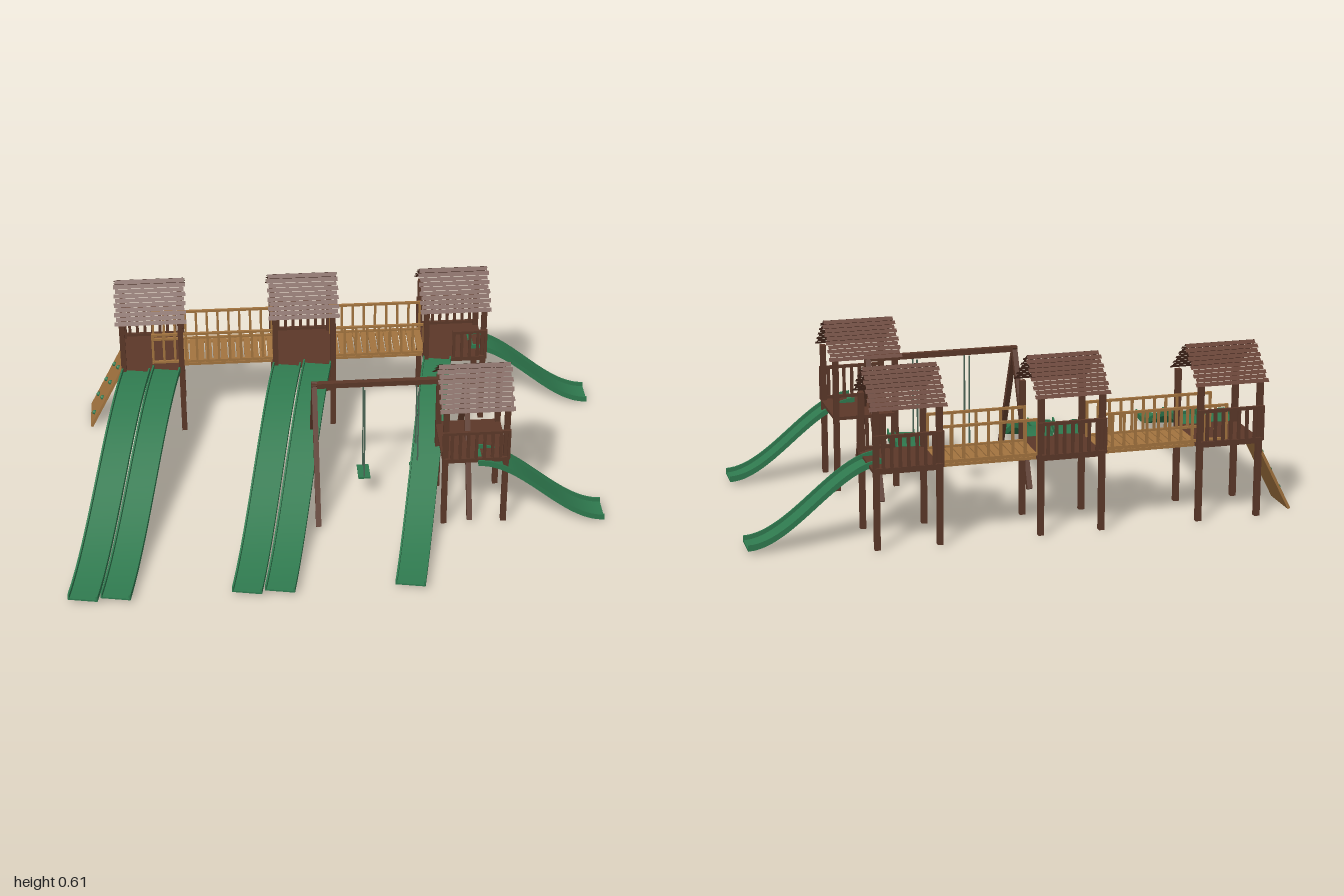
import * as THREE from 'three';
import { toCreasedNormals } from 'three/addons/utils/BufferGeometryUtils.js';

const mat = (name, color, side = THREE.FrontSide) => {
  const m = new THREE.MeshStandardMaterial({ color, side });
  m.name = name;
  return m;
};
const brown = mat('brown wood', 0x5c3829);
const shingle = mat('roof brown', 0x633b2c, THREE.DoubleSide);
const tan = mat('tan wood', 0xa3743f);
const green = mat('slide green', 0x2f7a4f);
const chain = mat('chain grey green', 0x4c6656);

const HX = 0.109, HZ = 0.115;        // half spacing of tower posts
const DECK = 0.28, EAVE = 0.49, RIDGE = 0.61;

function group(name, parent) {
  const g = new THREE.Group();
  g.name = name;
  parent.add(g);
  return g;
}

function box(parent, name, material, w, h, d, x, y, z) {
  const m = new THREE.Mesh(new THREE.BoxGeometry(w, h, d), material);
  m.name = name;
  m.position.set(x, y, z);
  parent.add(m);
  return m;
}

// Square bar between two points
function bar(parent, name, material, a, b, t) {
  const p = new THREE.Vector3(...a), q = new THREE.Vector3(...b);
  const m = box(parent, name, material, t, t, p.distanceTo(q), 0, 0, 0);
  m.position.copy(p).add(q).multiplyScalar(0.5);
  m.lookAt(q);
  return m;
}

// Railing along x with balusters between two rails
function railing(parent, name, material, x0, x1, z, top, count, t) {
  const g = group(name, parent), cx = (x0 + x1) / 2, w = x1 - x0;
  box(g, 'topRail', material, w, t, t, cx, top - t / 2, z);
  box(g, 'bottomRail', material, w, t, t, cx, DECK + t / 2, z);
  for (let i = 0; i < count; i++) {
    const x = x0 + t / 2 + (w - t) * i / (count - 1);
    box(g, 'baluster', material, t, top - DECK, t * 0.8, x, (top + DECK) / 2, z);
  }
}

// Open gable roof of separate thin boards
function roof(parent, cx, cz) {
  const g = group('roof', parent), rows = 10, half = 0.136;
  const drop = RIDGE - EAVE, len = Math.hypot(half, drop);
  for (const s of [-1, 1]) {
    for (let i = 0; i < rows; i++) {
      const t = (i + 0.5) / rows;
      const m = new THREE.Mesh(
        new THREE.PlaneGeometry(i % 2 ? 0.268 : 0.256, len / rows * 0.92), shingle);
      m.name = 'roofBoard';
      m.position.set(cx, RIDGE - drop * t, cz + s * half * t);
      m.rotation.order = 'YXZ';
      m.rotation.set(-Math.atan2(half, drop), s > 0 ? 0 : Math.PI, 0);
      g.add(m);
    }
  }
}

function tower(parent, name, cx, cz) {
  const g = group(name, parent);
  for (const sx of [-1, 1]) for (const sz of [-1, 1]) {
    box(g, 'post', brown, 0.02, EAVE, 0.02, cx + sx * HX, EAVE / 2, cz + sz * HZ);
  }
  box(g, 'deck', brown, 2 * HX + 0.02, 0.012, 2 * HZ + 0.02, cx, DECK - 0.006, cz);
  roof(g, cx, cz);
  return g;
}

// Curved strip following the slide's S-shaped fall
function strip(len, low, high, width, z) {
  const n = 28, pts = [];
  const y = (t) => 0.01 + 0.265 * (1 - t * t * (3 - 2 * t));
  for (let i = 0; i <= n; i++) pts.push(new THREE.Vector2(len * i / n, y(i / n) + low));
  for (let i = n; i >= 0; i--) pts.push(new THREE.Vector2(len * i / n, y(i / n) + high));
  const geo = new THREE.ExtrudeGeometry(new THREE.Shape(pts),
    { depth: width, bevelEnabled: false });
  geo.translate(0, 0, z - width / 2);
  return toCreasedNormals(geo, 0.5);
}

function slide(parent, name, x0, z0, x1, z1) {
  const g = group(name, parent), len = Math.hypot(x1 - x0, z1 - z0);
  const add = (n, geo) => {
    const m = new THREE.Mesh(geo, green);
    m.name = n;
    g.add(m);
  };
  add('slideBed', strip(len, 0, 0.006, 0.1, 0));
  for (const s of [-1, 1]) add('slideSide', strip(len, 0, 0.022, 0.006, s * 0.05));
  g.position.set(x0, 0, z0);
  g.rotation.y = Math.atan2(-(z1 - z0), x1 - x0);
}

// Plank bridge with railings on both sides
function bridge(parent, x0, x1, rail0) {
  const g = group('bridge', parent), cz = -0.52, n = Math.round((x1 - x0) / 0.03);
  for (let i = 0; i < n; i++) {
    const step = (x1 - x0) / n;
    box(g, 'plank', tan, step * 0.86, 0.01, 0.16, x0 + step * (i + 0.5), DECK - 0.003, cz);
  }
  for (const s of [-1, 1]) {
    box(g, 'bridgeBeam', tan, x1 - x0, 0.01, 0.012, (x0 + x1) / 2, DECK - 0.01, cz + s * 0.076);
    railing(g, 'bridgeRailing', tan, rail0, x1, cz + s * 0.08, 0.41,
      Math.round((x1 - rail0) / 0.043) + 1, 0.009);
  }
}

function swingSet(parent) {
  const g = group('swingSet', parent), z = 0.057;
  bar(g, 'swingBeam', brown, [-0.11, 0.482, z], [0.46, 0.482, z], 0.02);
  for (const x of [-0.1, 0.45]) for (const s of [-1, 1]) {
    bar(g, 'swingLeg', brown, [x, 0.005, z + s * 0.208], [x, 0.49, z - s * 0.004], 0.019);
  }
  for (const x of [0.08, 0.275]) {
    box(g, 'swingSeat', green, 0.044, 0.008, 0.08, x, 0.09, z);
    for (const s of [-1, 1]) {
      bar(g, 'swingChain', chain, [x, 0.09, z + s * 0.035], [x, 0.475, z + s * 0.035], 0.005);
    }
  }
}

function climbingWall(parent) {
  const g = group('climbingWall', parent);
  const len = Math.hypot(0.14, 0.275);
  g.position.set(-0.862, 0.138, -0.515);
  g.rotation.z = -Math.atan2(0.14, 0.275);
  box(g, 'climbingBoard', tan, 0.01, len, 0.156, 0, 0, 0);
  for (let r = 0; r < 7; r++) {
    const m = new THREE.Mesh(new THREE.SphereGeometry(0.009, 8, 6), green);
    m.name = 'climbingHold';
    m.position.set(-0.007, -0.115 + r * 0.038, r % 2 ? -0.04 : 0.035);
    g.add(m);
  }
}

export function createModel() {
  const model = new THREE.Group();
  model.name = 'playground';
  const backZ = -0.512, xs = [-0.683, -0.109, 0.464];

  // Row of towers, each with a back railing
  xs.forEach((x, i) => {
    const t = tower(model, ['rightTower', 'middleTower', 'leftTower'][i], x, backZ);
    railing(t, 'backRailing', brown, x - 0.122, x + 0.122, backZ - HZ - 0.013, 0.405, 9, 0.011);
  });
  railing(model, 'halfRailing', brown, xs[2] - 0.01, xs[2] + 0.122, backZ + HZ + 0.013, 0.405, 5, 0.011);

  // Small tower in front
  const front = tower(model, 'frontTower', xs[2], 0.15);
  railing(front, 'frontRailing', brown, xs[2] - 0.122, xs[2] + 0.122, 0.15 + HZ + 0.013, 0.405, 9, 0.011);

  bridge(model, -0.574, -0.218, -0.685);
  bridge(model, 0, 0.355, 0);

  // Long angled slides and two short side slides
  for (const x of [-0.746, -0.632, -0.175, -0.06, 0.398]) {
    slide(model, 'longSlide', x, -0.39, x - 0.2, 0.635);
  }
  slide(model, 'shortSlide', 0.53, -0.505, 1.0, -0.505);
  slide(model, 'shortSlide', 0.47, 0.255, 0.94, 0.255);

  swingSet(model);
  climbingWall(model);
  return model;
}
